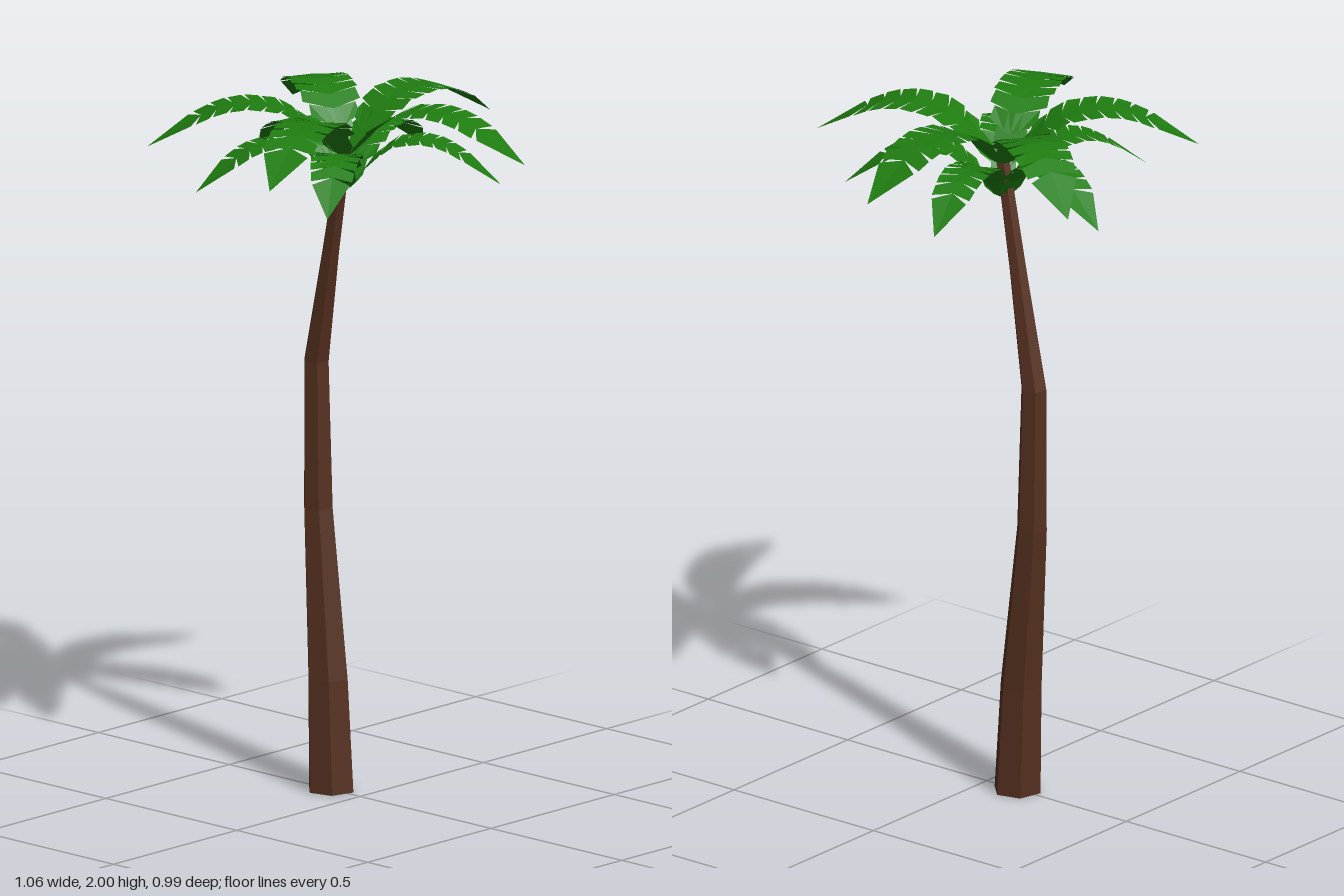
import * as THREE from 'three';

const bark = new THREE.MeshStandardMaterial({ color: 0x55301f, flatShading: true });
const green = new THREE.MeshStandardMaterial({ color: 0x1f7d10, flatShading: true, side: THREE.DoubleSide });

// Trunk rings: centre x, y, z and radius
const RINGS = [
  [0, 0, -0.11, 0.07],
  [0.005, 0.32, -0.127, 0.062],
  [0.02, 0.8, -0.178, 0.045],
  [0.02, 1.22, -0.185, 0.038],
  [0, 1.55, -0.112, 0.026],
  [-0.02, 1.86, -0.04, 0.02],
];

// Spine of a frond: distance from the trunk and height
const SPINE = [[0.02, -0.15], [0.1, -0.06], [0.18, -0.012], [0.27, 0], [0.35, -0.012], [0.45, -0.06], [0.55, -0.125]];

function spineHeight(u) {
  let i = 0;
  while (i < SPINE.length - 2 && u > SPINE[i + 1][0]) i++;
  const [u0, y0] = SPINE[i], [u1, y1] = SPINE[i + 1];
  return y0 + (y1 - y0) * (u - u0) / (u1 - u0);
}

// Six-sided cylinder whose rings follow the leaning trunk
function makeTrunk() {
  const n = RINGS.length - 1;
  const geo = new THREE.CylinderGeometry(1, 1, 1, 6, n, false, Math.PI / 12);
  const p = geo.attributes.position;
  for (let i = 0; i < p.count; i++) {
    const [x, y, z, r] = RINGS[Math.round((p.getY(i) + 0.5) * n)];
    p.setXYZ(i, x + p.getX(i) * r, y, z + p.getZ(i) * r);
  }
  geo.computeVertexNormals();
  const mesh = new THREE.Mesh(geo, bark);
  mesh.name = 'trunk';
  return mesh;
}

// Flat feathered leaf, bent along the spine
function makeFrondGeometry() {
  const pos = [];
  const put = (u, v) => pos.push(u, spineHeight(u), v);
  const tri = (a, b, c) => [a, b, c].forEach(q => put(...q));
  const quad = (a, b, c, d) => { tri(a, b, c); tri(a, c, d); };
  const count = 8, start = 0.02, pitch = 0.0475;
  for (const s of [1, -1]) {
    for (let i = 0; i < count; i++) {
      const u = start + i * pitch, e = u + pitch;
      const w = [0.045, 0.07, 0.083, 0.088, 0.088, 0.086, 0.082, 0.076][i];
      const v = 0.022;
      // solid strip along the spine, then the separate leaflet
      quad([u, 0], [e, 0], [e + 0.006, s * v], [u + 0.006, s * v]);
      quad([u + 0.006, s * v], [e + 0.006, s * v], [e + 0.018, s * w * 0.95], [u + 0.028, s * w]);
    }
    // pointed end
    const t = start + count * pitch;
    tri([t, 0], [0.55, 0], [t + 0.032, s * 0.066]);
  }
  const geo = new THREE.BufferGeometry();
  geo.setAttribute('position', new THREE.Float32BufferAttribute(pos, 3));
  geo.computeVertexNormals();
  return geo;
}

export function createModel() {
  const model = new THREE.Group();
  model.name = 'palmTree';
  model.add(makeTrunk());

  const geo = makeFrondGeometry();
  // Upper crown, and a smaller lower crown turned a little
  const crowns = [
    { name: 'upperFrond', top: 2, scale: 1, angles: [4, 71, 159, 224, 301.5] },
    { name: 'lowerFrond', top: 1.9, scale: 0.8, angles: [-13.5, 55, 143, 207, 283.5] },
  ];
  for (const { name, top, scale, angles } of crowns) {
    for (const a of angles) {
      const frond = new THREE.Mesh(geo, green);
      frond.name = name;
      frond.position.set(-0.02, top, -0.04);
      frond.scale.set(scale, 1, scale);
      frond.rotation.y = -THREE.MathUtils.degToRad(a);
      model.add(frond);
    }
  }
  return model;
}
